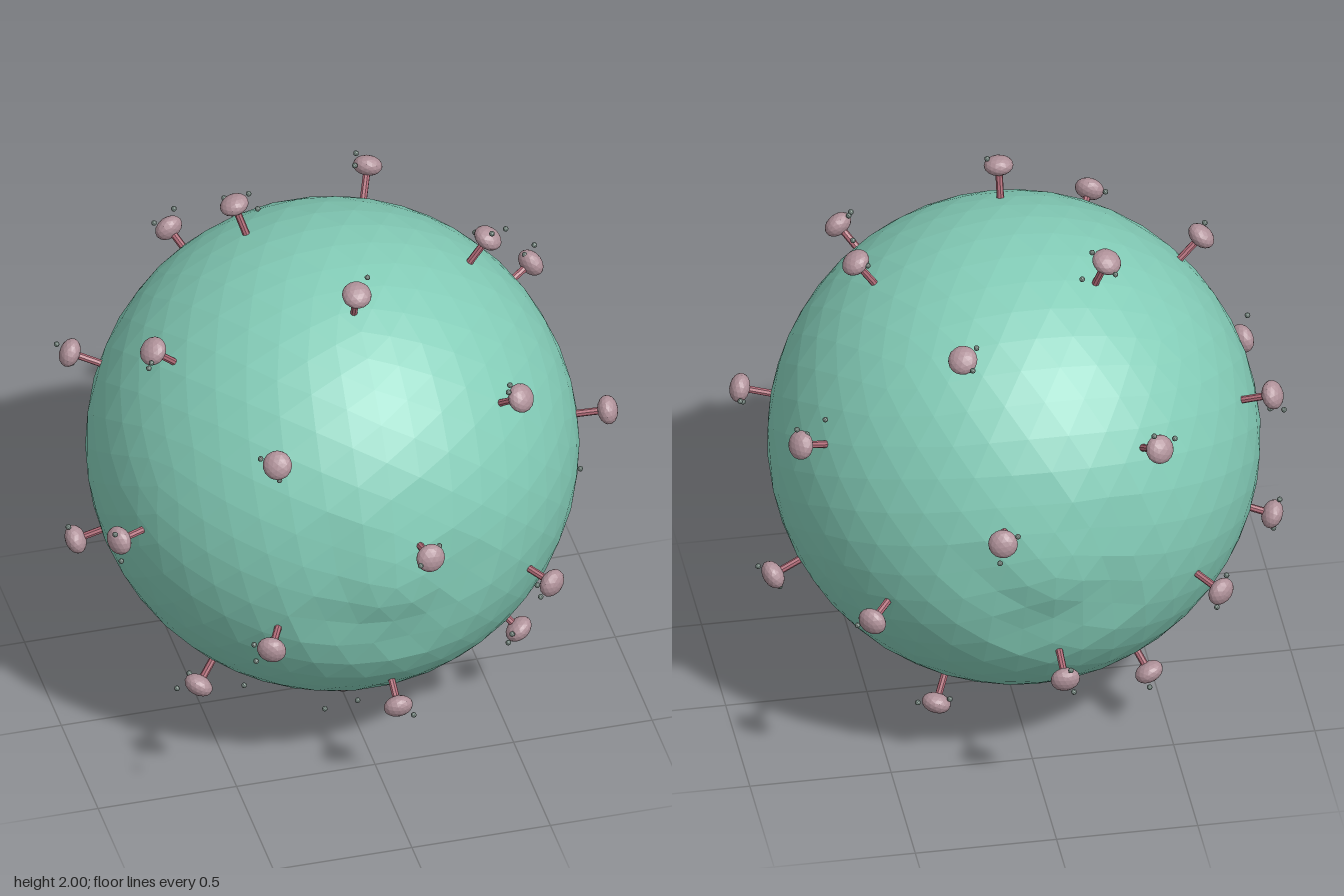
import * as THREE from 'three';

const CENTER = new THREE.Vector3(-0.018, 1.031, -0.013);
const RADIUS = 0.862;

// Centres of the spike heads
const HEADS = [
  [-0.025, 1.94, 0.345], [-0.01, 0.08, 0.10], [-0.30, 1.93, -0.285], [0.54, 1.83, 0],
  [0.26, 1.78, -0.58], [-0.71, 1.69, 0.155], [-0.41, 1.54, 0.715], [0.50, 1.575, 0.60],
  [-0.40, 1.475, -0.80], [0.805, 1.37, -0.415], [-0.875, 1.345, -0.355], [0.085, 1.20, 0.935],
  [0.91, 1.18, 0.235], [0.18, 1.24, -0.945], [-0.895, 1.07, 0.39], [-0.46, 0.825, 0.825],
  [0.58, 0.84, 0.72], [-0.91, 0.69, -0.145], [0.86, 0.65, -0.16], [0.605, 0.81, -0.725],
  [-0.625, 0.81, -0.75], [-0.05, 0.60, -0.89], [-0.595, 0.345, 0.34], [-0.43, 0.25, -0.40],
  [0.33, 0.235, -0.44], [0.025, 0.41, 0.72], [0.57, 0.34, 0.305],
];

// Loose specks with fixed places, the rest are scattered around the heads
const SPECKS = [
  [0.02, 1.99, 0.32], [-0.09, 0.01, 0.155], [0.03, 0.02, 0.15],
  [-0.57, 0.72, 0.865], [0.726, 1.5, -0.46], [-0.21, 1.88, -0.305],
];

function seeded(seed) {
  return () => (seed = (seed * 16807) % 2147483647) / 2147483647;
}

// Faceted ball with shallow dents around its front and back poles
function bodyGeometry() {
  const geo = new THREE.IcosahedronGeometry(1, 7);
  geo.rotateX(-Math.atan(2 / (1 + Math.sqrt(5))));
  const pos = geo.attributes.position;
  const v = new THREE.Vector3();
  for (let i = 0; i < pos.count; i++) {
    v.fromBufferAttribute(pos, i).normalize();
    const polar = Math.acos(Math.min(1, Math.abs(v.z)));
    const around = Math.atan2(v.x, -v.y);
    const ring = Math.exp(-(((polar - 0.27) / 0.13) ** 2));
    const dent = ring * (0.02 + 0.014 * Math.cos(around) + 0.008 * Math.sin(around * 5));
    v.multiplyScalar(RADIUS * (1 - dent));
    pos.setXYZ(i, v.x, v.y, v.z * 1.012);
  }
  geo.computeVertexNormals();
  return geo;
}

export function createModel() {
  const model = new THREE.Group();
  model.name = 'spikedBall';
  const mat = (color) => new THREE.MeshStandardMaterial({ color, flatShading: true });
  const bodyMat = mat(0x83ccb7), headMat = mat(0xb0929a), stemMat = mat(0xb06a77), speckMat = mat(0x71827b);

  const add = (parent, name, geo, material, position) => {
    const mesh = new THREE.Mesh(geo, material);
    mesh.name = name;
    mesh.position.copy(position);
    parent.add(mesh);
    return mesh;
  };
  add(model, 'body', bodyGeometry(), bodyMat, CENTER);

  const stemGeo = new THREE.CylinderGeometry(0.013, 0.013, 0.13, 8);
  const headGeo = new THREE.IcosahedronGeometry(0.052, 2).scale(1, 0.7, 1);
  const speckGeo = new THREE.IcosahedronGeometry(0.01, 1);
  const up = new THREE.Vector3(0, 1, 0);
  const random = seeded(4711);

  HEADS.forEach((p, i) => {
    // Stem and flattened head, pointing away from the centre
    const spike = new THREE.Group();
    spike.name = 'spike';
    spike.position.set(...p);
    const dir = spike.position.clone().sub(CENTER).normalize();
    spike.quaternion.setFromUnitVectors(up, dir);
    add(spike, 'spikeStem', stemGeo, stemMat, new THREE.Vector3(0, -0.07, 0));
    add(spike, 'spikeHead', headGeo, headMat, new THREE.Vector3());
    // Specks floating beside the head
    for (let k = 0; i > 1 && k < 2; k++) {
      const a = random() * Math.PI * 2;
      const r = 0.045 + random() * 0.025;
      const place = new THREE.Vector3(Math.cos(a) * r, random() * 0.08 - 0.03, Math.sin(a) * r);
      add(spike, 'speck', speckGeo, speckMat, place);
    }
    model.add(spike);
  });

  for (const p of SPECKS) add(model, 'speck', speckGeo, speckMat, new THREE.Vector3(...p));
  return model;
}
